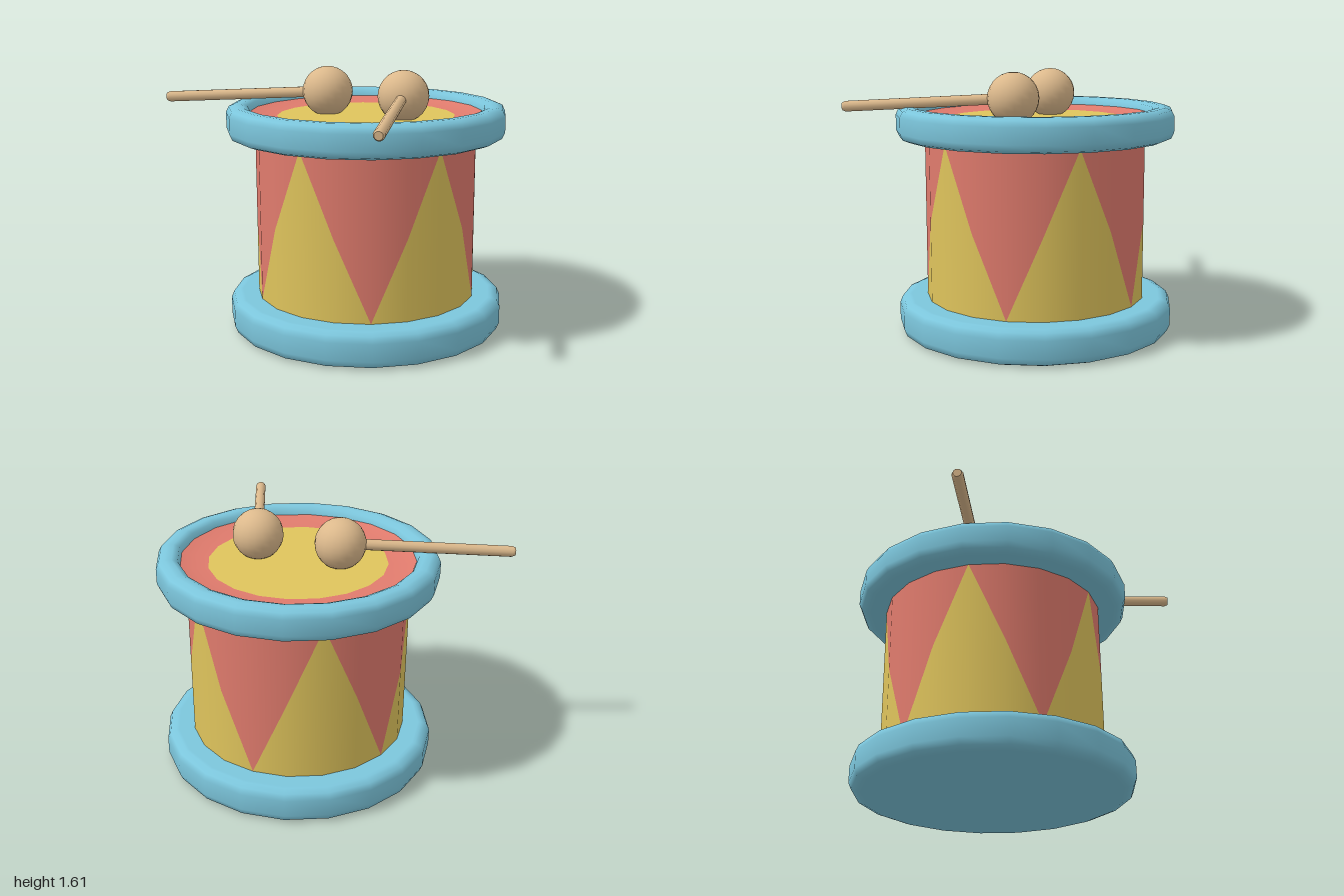
import * as THREE from 'three';

const SIDES = 20;
const BODY_R = 0.68, BODY_LOW = 0.215, BODY_HIGH = 1.2;

const mat = (color) => new THREE.MeshStandardMaterial({ color });
const blue = mat(0x7cc6dc), pink = mat(0xe07b6d), yellow = mat(0xdfc45c), wood = mat(0xdcb98c);

function add(parent, name, geometry, material) {
  const mesh = new THREE.Mesh(geometry, material);
  mesh.name = name;
  parent.add(mesh);
  return mesh;
}

// Turned part from [radius, height] pairs, running up the outside
function turned(points, sides = SIDES) {
  return new THREE.LatheGeometry(points.map(([r, y]) => new THREE.Vector2(r, y)), sides);
}

// Open wall whose lower and upper edges follow height rules per column
function wall(low, high) {
  const g = new THREE.CylinderGeometry(BODY_R, BODY_R, 1, SIDES, 1, true);
  for (let i = 0; i <= SIDES; i++) {
    g.attributes.position.setY(i, high(i));
    g.attributes.position.setY(i + SIDES + 1, low(i));
  }
  return g;
}

// Stick from the ball centre to the tip, with a bevelled end
function addBeater(parent, name, ball, tip) {
  const beater = new THREE.Group();
  beater.name = name;
  const a = new THREE.Vector3(...ball), b = new THREE.Vector3(...tip);
  add(beater, 'beaterBall', new THREE.SphereGeometry(0.155, 20, 14), wood).position.copy(a);
  const len = a.distanceTo(b), r = 0.033;
  const stick = add(beater, 'beaterStick', turned(
    [[r, 0], [r, len - 0.02], [r * 0.75, len], [r * 0.7, len], [0, len]], 12), wood);
  stick.position.copy(a);
  stick.quaternion.setFromUnitVectors(new THREE.Vector3(0, 1, 0), b.sub(a).normalize());
  parent.add(beater);
}

export function createModel() {
  const group = new THREE.Group();
  group.name = 'toyDrum';

  const drum = new THREE.Group();
  drum.name = 'drum';
  drum.position.x = 0.02;
  group.add(drum);

  // Body: five yellow peaks below a zigzag line, pink above it
  const zigzag = (i) => {
    const t = Math.abs(((i + 3) % 4) - 2) / 2;
    return BODY_LOW + (BODY_HIGH - BODY_LOW) * t;
  };
  add(drum, 'bodyYellowPeaks', wall(() => BODY_LOW - 0.01, zigzag), yellow);
  add(drum, 'bodyPinkPeaks', wall(zigzag, () => BODY_HIGH), pink);

  // Rounded base, closed underneath
  add(drum, 'baseRim', turned([
    [0, 0], [0.78, 0], [0.80, 0], [0.838, 0.015], [0.855, 0.055],
    [0.855, 0.16], [0.838, 0.2], [0.80, 0.215], [0.78, 0.215], [0.66, 0.215],
  ]), blue);

  // Rounded top rim, sloping in towards the drumhead
  add(drum, 'topRim', turned([
    [0.66, 1.197], [0.78, 1.197], [0.80, 1.197], [0.838, 1.212], [0.855, 1.25],
    [0.855, 1.345], [0.838, 1.38], [0.80, 1.395], [0.76, 1.395], [0.725, 1.38],
    [0.71, 1.335], [0.71, 1.31],
  ]), blue);

  // Slightly dished drumhead: pink border around a yellow disc
  add(drum, 'drumheadBorder', turned([[0.712, 1.345], [0.64, 1.327], [0.545, 1.322]]), pink);
  add(drum, 'drumheadDisc', new THREE.CircleGeometry(0.545, SIDES).rotateX(-Math.PI / 2)
    .translate(0, 1.322, 0), yellow);

  // Two beaters resting on the head
  addBeater(group, 'rightBeater', [-0.205, 1.455, 0.125], [-0.978, 1.398, 0.825]);
  addBeater(group, 'leftBeater', [0.265, 1.455, -0.09], [0.975, 1.395, 0.678]);

  return group;
}
